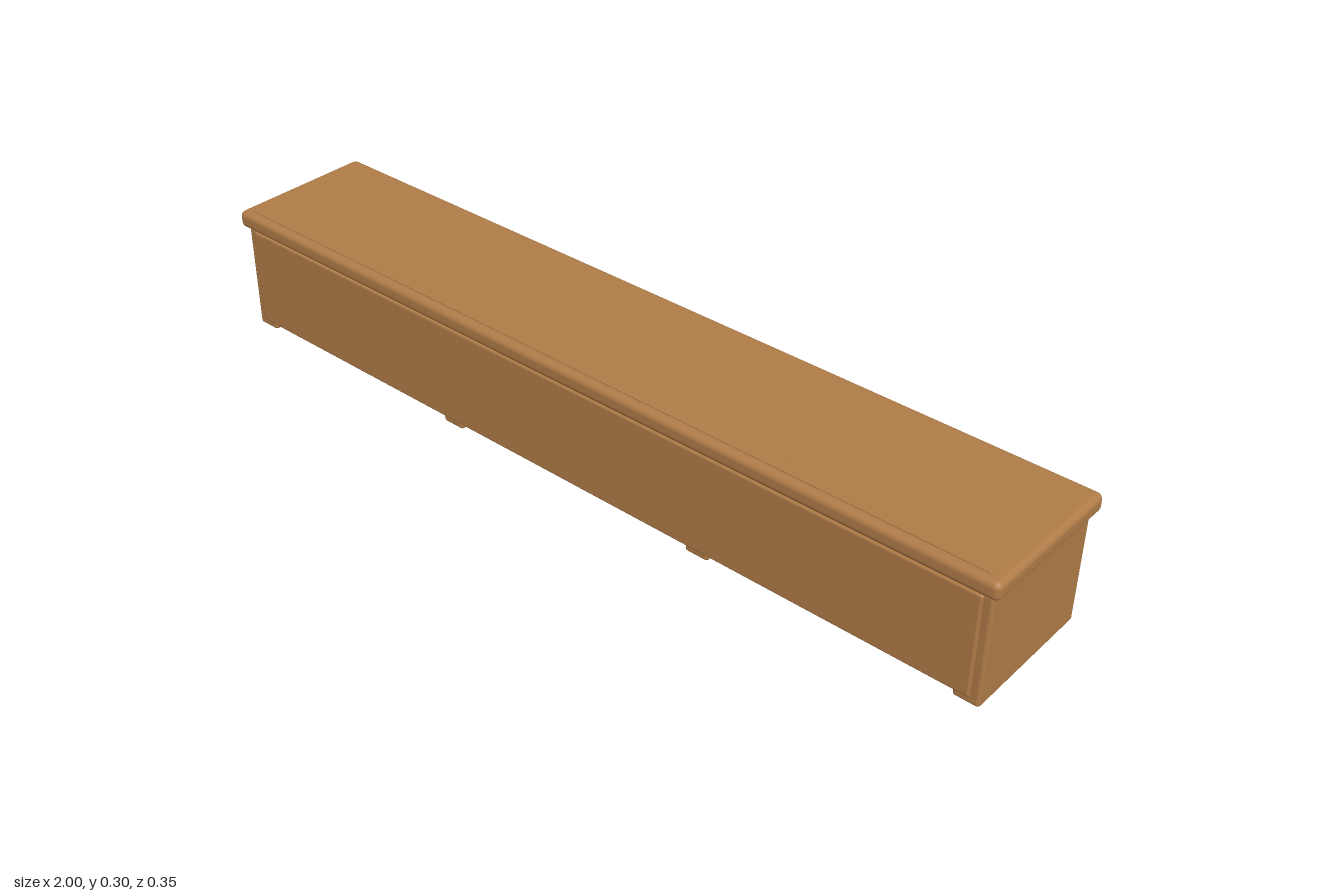
import * as THREE from 'three';
import { RoundedBoxGeometry } from 'three/addons/geometries/RoundedBoxGeometry.js';

export function createModel() {
  const model = new THREE.Group();
  model.name = 'lowBench';
  const wood = new THREE.MeshStandardMaterial({ color: 0xb07c48 });
  wood.name = 'warm wood';

  // Rounded board given by its extents on each axis
  function board(name, [x0, x1], [y0, y1], [z0, z1], radius) {
    const geometry = new RoundedBoxGeometry(x1 - x0, y1 - y0, z1 - z0, 4, radius);
    const mesh = new THREE.Mesh(geometry, wood);
    mesh.name = name;
    mesh.position.set((x0 + x1) / 2, (y0 + y1) / 2, (z0 + z1) / 2);
    model.add(mesh);
  }

  // Overhanging top with a thin raised strip along the front
  board('top', [-1, 1], [0.254, 0.295], [-0.176, 0.176], 0.014);
  board('topStrip', [-0.97, 0.97], [0.288, 0.298], [0.127, 0.157], 0.002);

  // Front panel, held just above the floor
  board('frontPanel', [-0.966, 0.966], [0.017, 0.251], [0.138, 0.168], 0.006);

  // Four upright supports, open between them at the back
  for (const x of [-0.957, -0.339, 0.339, 0.957]) {
    board('support', [x - 0.029, x + 0.029], [0, 0.254], [-0.161, 0.163], 0.008);
  }
  return model;
}
